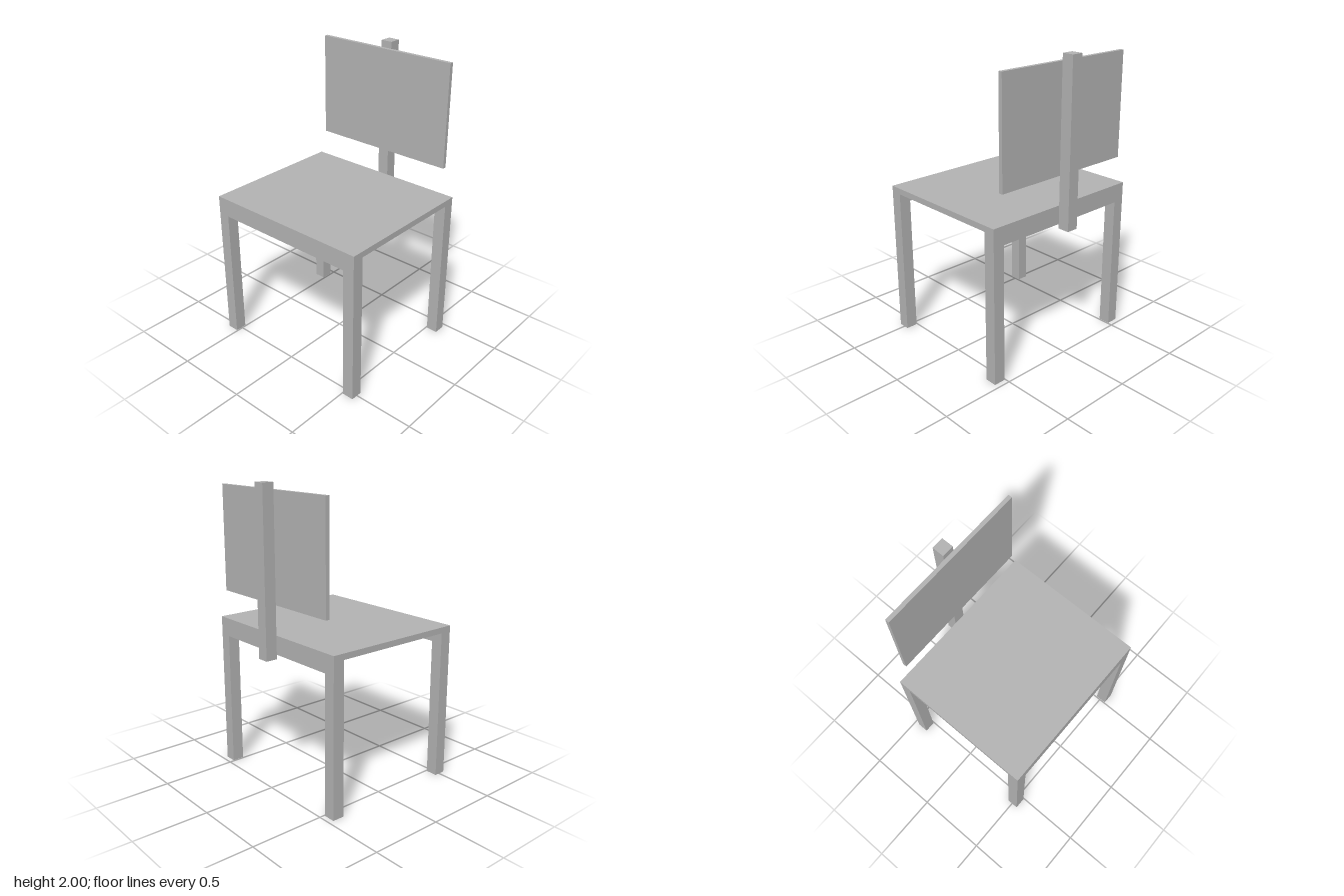
import * as THREE from 'three';

export function createModel() {
  const group = new THREE.Group();
  const grey = new THREE.MeshStandardMaterial({ color: 0xb2b2b2 });
  grey.name = 'plain grey';

  // Box given by its minimum and maximum corners
  function box(name, [x0, y0, z0], [x1, y1, z1]) {
    const mesh = new THREE.Mesh(new THREE.BoxGeometry(x1 - x0, y1 - y0, z1 - z0), grey);
    mesh.position.set((x0 + x1) / 2, (y0 + y1) / 2, (z0 + z1) / 2);
    mesh.name = name;
    group.add(mesh);
  }

  const halfWidth = 0.587, front = 0.545, back = -0.465;
  const leg = 0.08, rail = 0.04, seatTop = 1.055, seatBottom = 1.015;

  // Seat board
  box('seat', [-halfWidth, seatBottom, back], [halfWidth, seatTop, front]);

  // Four square legs
  for (const [side, x] of [['Right', -halfWidth], ['Left', halfWidth - leg]]) {
    for (const [end, z] of [['front', front - leg], ['back', back]]) {
      box(end + side + 'Leg', [x, 0, z], [x + leg, seatBottom, z + leg]);
    }
  }

  // Rails under the front and back edges of the seat
  const inner = halfWidth - leg;
  box('frontRail', [-inner, 0.93, front - rail], [inner, seatBottom, front]);
  box('backRail', [-inner, 0.93, back], [inner, seatBottom, back + rail]);

  // Back post and the panel fixed to its front
  box('backPost', [-0.04, 0.9, -0.545], [0.04, 2, back]);
  box('backrest', [-0.517, 1.25, back], [0.517, 1.955, -0.438]);

  return group;
}
